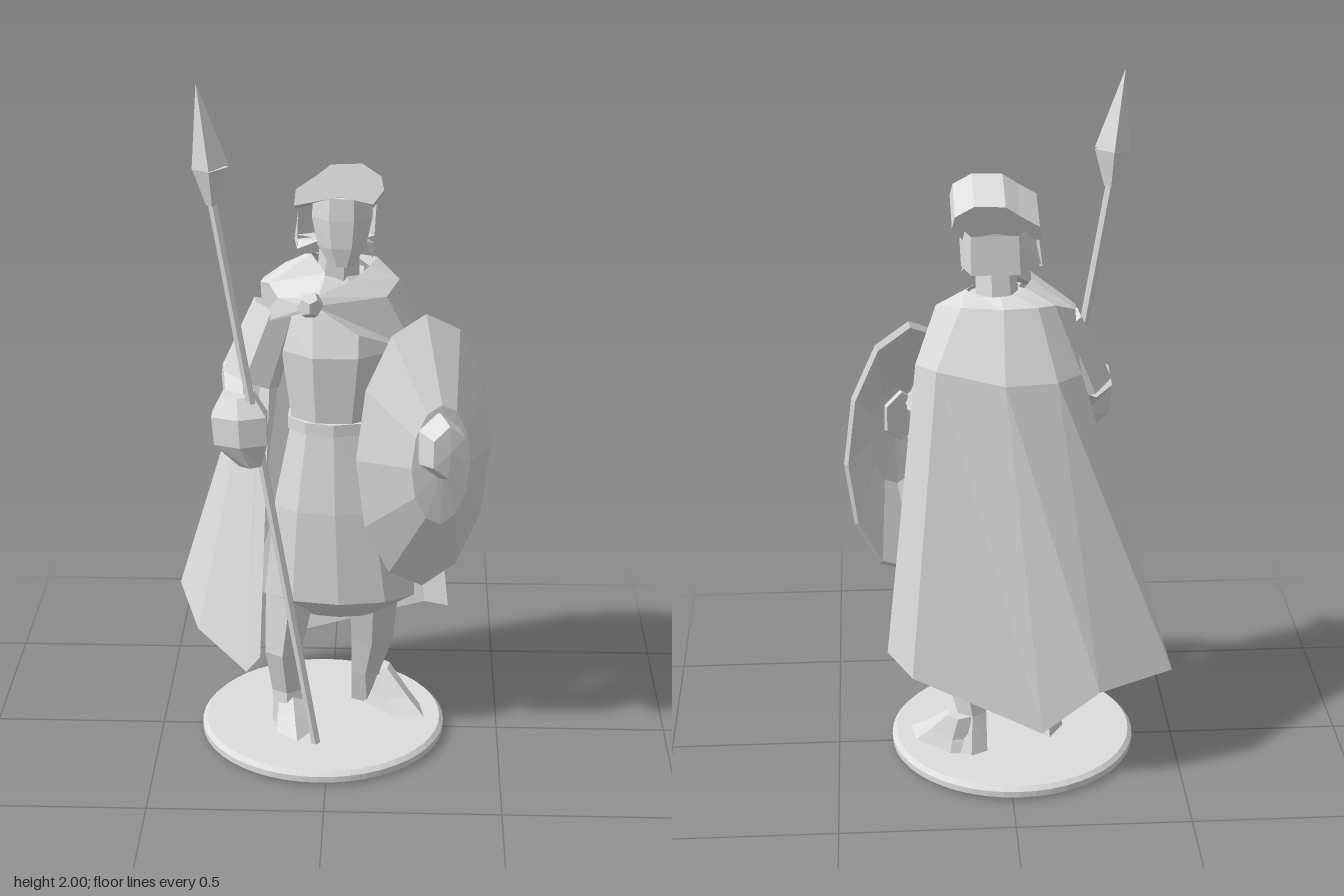
import * as THREE from 'three';

const stone = new THREE.MeshStandardMaterial({ color: 0xdedede, flatShading: true, side: THREE.DoubleSide });
stone.name = 'pale grey';

const V = (p) => new THREE.Vector3(...p);
const profile = (points) => points.map((p) => new THREE.Vector2(...p));

export function createModel() {
  const model = new THREE.Group();

  function add(name, geometry) {
    const mesh = new THREE.Mesh(geometry, stone);
    mesh.name = name;
    model.add(mesh);
    return mesh;
  }

  // Surface through rows of points; each row has the same count
  function sheet(name, rows, closed = false) {
    const n = rows[0].length, pos = [];
    for (let r = 0; r + 1 < rows.length; r++) {
      for (let i = 0; i < (closed ? n : n - 1); i++) {
        const j = (i + 1) % n;
        const a = rows[r][i], b = rows[r][j], c = rows[r + 1][j], d = rows[r + 1][i];
        pos.push(...a, ...b, ...d, ...b, ...c, ...d);
      }
    }
    const g = new THREE.BufferGeometry();
    g.setAttribute('position', new THREE.Float32BufferAttribute(pos, 3));
    g.computeVertexNormals();
    return add(name, g);
  }

  // Stack of level rings, each [x, y, z, radiusX, radiusZ], listed bottom to top
  function stack(name, rings, sides = 8) {
    const circle = ([x, y, z, rx, rz]) => Array.from({ length: sides }, (_, i) => {
      const a = -((i + 0.5) / sides) * Math.PI * 2;
      return [x + rx * Math.cos(a), y, z + rz * Math.sin(a)];
    });
    const point = ([x, y, z]) => [x, y, z, 0, 0];
    return sheet(name, [point(rings[0]), ...rings, point(rings[rings.length - 1])].map(circle), true);
  }

  // Tapered bar between two points
  function bar(name, a, b, r1, r2, sides = 6) {
    const from = V(a), dir = V(b).sub(from);
    const mesh = add(name, new THREE.CylinderGeometry(r2, r1, dir.length(), sides));
    mesh.position.copy(from).addScaledVector(dir, 0.5);
    mesh.quaternion.setFromUnitVectors(new THREE.Vector3(0, 1, 0), dir.normalize());
    return mesh;
  }

  // Round plinth with a bevelled rim
  const plinth = add('plinth', new THREE.LatheGeometry(
    profile([[0, 0], [0.35, 0], [0.36, 0.01], [0.36, 0.028], [0.348, 0.04], [0, 0.04]]), 48));
  plinth.position.x = -0.02;

  // Legs and feet
  stack('rightLeg', [[-0.12, 0.04, 0.03, 0.055, 0.05], [-0.125, 0.14, 0.02, 0.05, 0.05],
    [-0.135, 0.28, 0.04, 0.06, 0.07], [-0.11, 0.48, 0.03, 0.085, 0.08]], 6);
  stack('leftLeg', [[0.11, 0.04, -0.12, 0.055, 0.05], [0.105, 0.15, -0.085, 0.048, 0.05],
    [0.125, 0.28, -0.055, 0.07, 0.07], [0.13, 0.48, 0, 0.085, 0.08]], 6);
  function foot(name, x, z, turn) {
    const mesh = stack(name, [[0, 0.04, 0.04, 0.062, 0.13], [0, 0.08, 0.02, 0.052, 0.09], [0, 0.15, -0.02, 0.04, 0.04]], 6);
    mesh.position.set(x, 0, z);
    mesh.rotation.y = turn;
  }
  foot('rightFoot', -0.115, 0.01, 0.15);
  foot('leftFoot', 0.155, -0.095, 0.85);

  // Tunic: skirt, belt, chest
  stack('skirt', [[0.03, 0.4, 0.03, 0.11, 0.05], [0.03, 0.47, 0.03, 0.228, 0.115],
    [0.02, 0.75, 0.035, 0.185, 0.11], [0.015, 0.99, 0.03, 0.13, 0.095]], 10);
  stack('belt', [[0.015, 0.985, 0.03, 0.138, 0.104], [0.015, 1.02, 0.03, 0.138, 0.104]], 10);
  stack('chest', [[0.015, 1.01, 0.03, 0.13, 0.095], [0.02, 1.22, 0.02, 0.165, 0.13],
    [0.02, 1.34, -0.01, 0.17, 0.12], [0.02, 1.43, -0.02, 0.08, 0.075]], 8);

  // Neck and head
  stack('neck', [[0.025, 1.38, -0.01, 0.065, 0.065], [0.03, 1.54, 0.01, 0.055, 0.055]], 7);
  stack('head', [[0.035, 1.465, 0.05, 0.035, 0.03], [0.035, 1.52, 0.025, 0.072, 0.065],
    [0.035, 1.6, 0.015, 0.09, 0.075], [0.035, 1.66, 0.01, 0.085, 0.075]], 8);

  // Tilted cap with a lopsided arched outline
  const arch = new THREE.Shape(profile([[-0.095, -0.07], [-0.09, -0.025], [-0.035, 0.012], [0.005, 0.043],
    [0.09, 0.046], [0.142, 0.012], [0.15, -0.025], [0.12, -0.065], [0.03, -0.045]]));
  const capShape = new THREE.ExtrudeGeometry(arch, { depth: 0.155, bevelEnabled: false });
  capShape.translate(0, 0, -0.0825);
  const cap = add('cap', capShape);
  cap.position.set(0, 1.685, -0.005);
  cap.rotation.x = -0.33;

  // Neck guard and cheek flaps hanging from the cap
  sheet('neckGuard', [
    [[-0.07, 1.63, -0.04], [-0.03, 1.62, -0.105], [0.1, 1.62, -0.105], [0.13, 1.63, -0.04]],
    [[-0.095, 1.52, -0.05], [-0.035, 1.51, -0.11], [0.1, 1.51, -0.11], [0.125, 1.52, -0.05]],
    [[-0.04, 1.52, -0.02], [-0.01, 1.52, -0.05], [0.07, 1.52, -0.05], [0.09, 1.52, -0.02]]]);
  sheet('rightCheekFlap', [[[-0.085, 1.65, 0.04], [-0.085, 1.63, -0.04]],
    [[-0.09, 1.5, 0.02], [-0.1, 1.51, -0.04]], [[-0.03, 1.53, 0.04], [-0.04, 1.52, -0.03]]]);
  sheet('leftCheekFlap', [[[0.13, 1.65, 0.04], [0.13, 1.63, -0.04]],
    [[0.12, 1.475, 0.02], [0.125, 1.5, -0.04]], [[0.095, 1.53, 0.04], [0.1, 1.52, -0.03]]]);

  // Long cape: neck, shoulder line, shoulder blades, hem
  sheet('cape', [
    [[-0.05, 1.49, 0.03], [-0.07, 1.48, 0], [-0.07, 1.47, -0.03], [-0.05, 1.46, -0.07],
      [-0.02, 1.45, -0.1], [0.02, 1.45, -0.12], [0.08, 1.44, -0.09], [0.11, 1.44, -0.02]],
    [[-0.17, 1.4, 0.02], [-0.195, 1.39, -0.02], [-0.19, 1.39, -0.06], [-0.13, 1.42, -0.11],
      [-0.08, 1.43, -0.155], [0.015, 1.435, -0.18], [0.13, 1.43, -0.14], [0.195, 1.4, -0.03]],
    [[-0.165, 1.25, 0], [-0.19, 1.25, -0.04], [-0.2, 1.25, -0.1], [-0.2, 1.24, -0.17],
      [-0.13, 1.24, -0.235], [0.015, 1.24, -0.255], [0.2, 1.26, -0.18], [0.255, 1.24, -0.07]],
    [[-0.2, 0.28, 0.11], [-0.245, 0.205, 0.06], [-0.4, 0.27, -0.09], [-0.465, 0.35, -0.245],
      [-0.25, 0.32, -0.315], [-0.09, 0.175, -0.285], [0.28, 0.32, -0.2], [0.35, 0.355, -0.1]]]);

  // Front drapes of the cape, gathered at a brooch
  sheet('rightDrape', [
    [[-0.05, 1.49, 0.03], [-0.01, 1.45, 0.08], [-0.04, 1.4, 0.15]],
    [[-0.17, 1.4, 0.02], [-0.14, 1.38, 0.09], [-0.05, 1.375, 0.155]],
    [[-0.165, 1.25, 0], [-0.21, 1.29, 0.06], [-0.055, 1.36, 0.15]]]);
  sheet('leftDrape', [
    [[0.11, 1.44, -0.02], [0.07, 1.43, 0.07], [-0.04, 1.4, 0.15]],
    [[0.195, 1.4, -0.03], [0.16, 1.38, 0.07], [-0.035, 1.38, 0.16]],
    [[0.255, 1.24, -0.07], [0.24, 1.22, 0.06], [0.08, 1.29, 0.135]]]);
  const brooch = add('brooch', new THREE.DodecahedronGeometry(0.038));
  brooch.position.set(-0.048, 1.385, 0.165);

  // Arms: sleeve, forearm, fist
  bar('rightSleeve', [-0.15, 1.33, 0.015], [-0.225, 1.13, 0.045], 0.07, 0.088, 7);
  bar('rightForearm', [-0.25, 1.15, 0.03], [-0.24, 1.06, 0.15], 0.06, 0.052);
  stack('rightFist', [[-0.215, 0.92, 0.18, 0.035, 0.035], [-0.24, 0.99, 0.185, 0.085, 0.055],
    [-0.245, 1.07, 0.18, 0.088, 0.055], [-0.25, 1.12, 0.15, 0.05, 0.045]], 6);
  bar('leftSleeve', [0.16, 1.26, -0.01], [0.225, 1.08, 0], 0.055, 0.064);
  bar('leftForearm', [0.23, 1.1, 0], [0.225, 0.95, 0.1], 0.055, 0.04);
  const leftFist = add('leftFist', new THREE.DodecahedronGeometry(0.05));
  leftFist.position.set(0.23, 0.94, 0.11);

  // Spear
  bar('spearShaft', [-0.035, 0.04, 0.18], [-0.312, 1.7, 0.18], 0.014, 0.014, 6);
  bar('spearSocket', [-0.308, 1.67, 0.18], [-0.312, 1.775, 0.185], 0.018, 0.05, 4);
  bar('spearPoint', [-0.312, 1.775, 0.185], [-0.345, 2, 0.19], 0.05, 0.001, 4);

  // Oval dished shield with a central boss, facing forward and outward
  const shield = new THREE.Group();
  shield.name = 'shield';
  const plate = new THREE.LatheGeometry(
    profile([[0, 0.11], [0.08, 0.1], [0.2, -0.012], [0.208, 0], [0.09, 0.12], [0, 0.13]]), 12);
  plate.rotateX(Math.PI / 2);
  plate.scale(1, 1.95, 1);
  const knob = new THREE.LatheGeometry(
    profile([[0, 0.09], [0.055, 0.09], [0.068, 0.14], [0.055, 0.21], [0, 0.215]]), 6);
  knob.rotateX(Math.PI / 2);
  knob.scale(1, 1.4, 1);
  const boss = add('shieldBoss', knob);
  boss.position.set(-0.015, 0.065, 0);
  shield.add(add('shieldPlate', plate), boss);
  shield.position.set(0.27, 0.92, 0.075);
  shield.rotation.set(-0.06, 0.4, 0);
  model.add(shield);

  return model;
}
